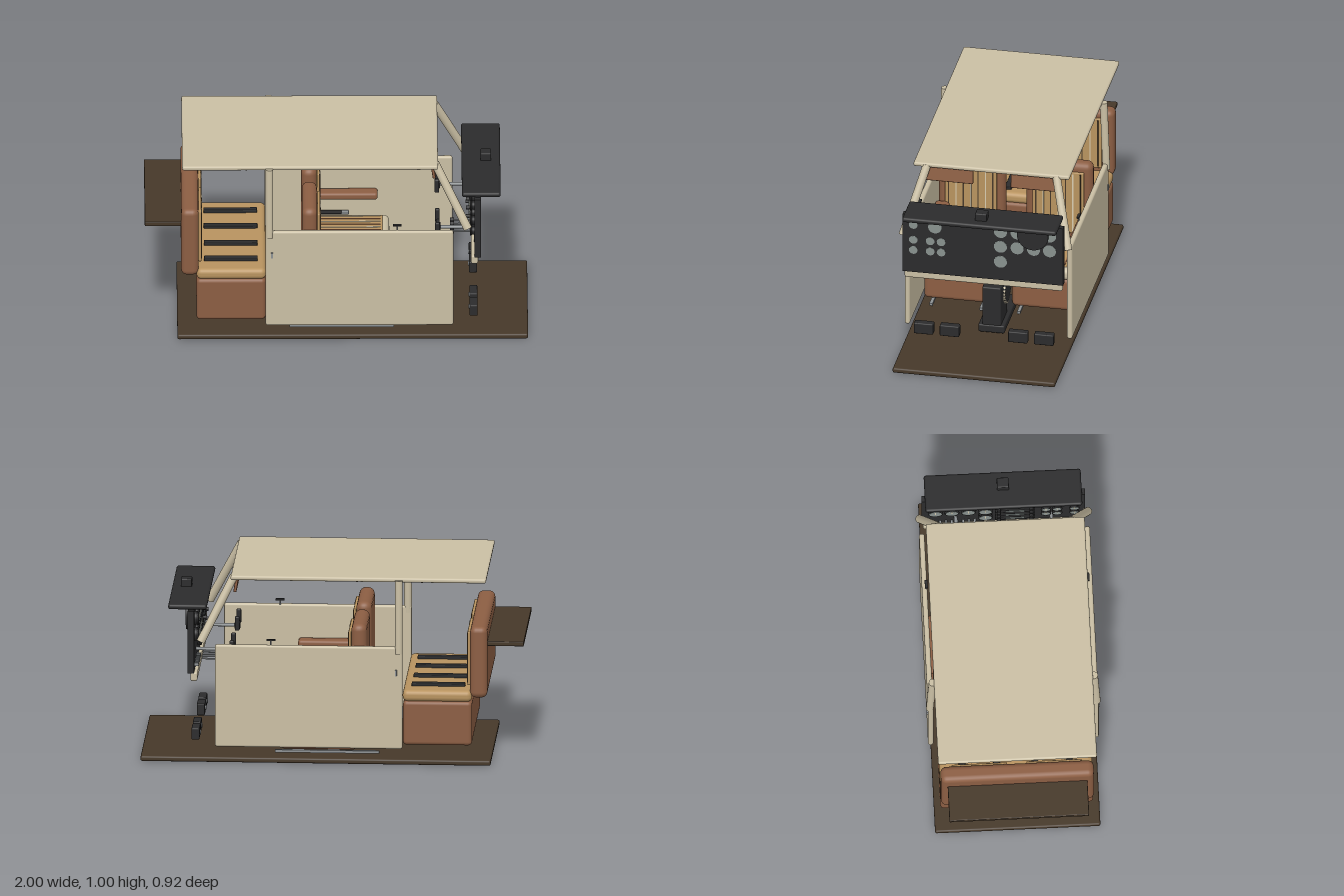
import * as THREE from 'three';
import { RoundedBoxGeometry } from 'three/addons/geometries/RoundedBoxGeometry.js';

const mat = (name, color) => {
  const m = new THREE.MeshStandardMaterial({ color });
  m.name = name;
  return m;
};

export function createModel() {
  const root = new THREE.Group();
  root.name = 'cabin';
  const beige = mat('beige trim', 0xcabfa4);
  const leather = mat('brown leather', 0x8c5e43);
  const tan = mat('tan fabric', 0xb8935f);
  const carpet = mat('dark carpet', 0x463829);
  const black = mat('black plastic', 0x2b2b2c);
  const glass = mat('gauge glass', 0x88918e);
  const metal = mat('grey metal', 0x8d9193);
  const cream = mat('cream piping', 0xd8ccb0);

  const add = (name, geo, m, parent = root) => {
    const mesh = new THREE.Mesh(geo, m);
    mesh.name = name;
    parent.add(mesh);
    return mesh;
  };
  // Box given by its low and high limits on each axis; r rounds the edges
  const box = (name, m, [x0, x1], [y0, y1], [z0, z1], r = 0, parent = root) => {
    const w = x1 - x0, h = y1 - y0, d = z1 - z0;
    const geo = r ? new RoundedBoxGeometry(w, h, d, 3, r) : new THREE.BoxGeometry(w, h, d);
    const mesh = add(name, geo, m, parent);
    mesh.position.set((x0 + x1) / 2, (y0 + y1) / 2, (z0 + z1) / 2);
    return mesh;
  };
  // Round bar between two points
  const rod = (name, m, a, b, r, parent = root, sides = 20) => {
    const p = new THREE.Vector3(...a), q = new THREE.Vector3(...b);
    const mesh = add(name, new THREE.CylinderGeometry(r, r, p.distanceTo(q), sides), m, parent);
    mesh.position.copy(p).lerp(q, 0.5);
    mesh.quaternion.setFromUnitVectors(new THREE.Vector3(0, 1, 0), q.sub(p).normalize());
    return mesh;
  };
  const span = (c, w) => [c - w / 2, c + w / 2];
  const group = (name) => {
    const g = new THREE.Group();
    g.name = name;
    root.add(g);
    return g;
  };

  // Floor, rear shelf and roof
  box('floor', carpet, [-0.83, 1], [0, 0.028], [-0.432, 0.432], 0.01);
  box('rearShelf', carpet, [-1, -0.79], [0.63, 0.655], [-0.365, 0.365], 0.005);
  box('roof', beige, [-0.805, 0.53], [0.978, 1.002], [-0.415, 0.415], 0.01);
  for (const x of [-0.47, -0.13, 0.21])
    box('roofSeam', carpet, span(x, 0.008), [0.974, 0.98], [-0.4, 0.4]);
  box('domeLight', beige, [-0.2, -0.145], [0.964, 0.979], [-0.04, 0.04], 0.005);

  // Vertical ribs on the upholstery of a seat back
  const backInsert = (x, y, z, parent) => {
    box('backInsert', tan, [x - 0.015, x], y, z, 0.006, parent);
    const n = 7, step = (z[1] - z[0]) / n;
    for (let i = 0; i < n; i++) {
      const c = z[0] + step * (i + 0.5);
      box('backRib', i % 2 ? cream : carpet, [x - 0.002, x + 0.003],
        [y[0] + 0.01, y[1] - 0.01], span(c, 0.006), 0, parent);
    }
  };

  // Rear bench
  const bench = group('rearBench');
  box('benchBase', leather, [-0.73, -0.37], [0.098, 0.335], [-0.4, 0.4], 0.02, bench);
  box('benchBack', leather, [-0.81, -0.72], [0.355, 0.737], [-0.4, 0.4], 0.03, bench);
  box('benchCushion', tan, [-0.73, -0.368], [0.332, 0.392], [-0.4, 0.4], 0.025, bench);
  for (const s of [-1, 1]) {
    backInsert(-0.704, [0.41, 0.7], span(s * 0.195, 0.29), bench);
    for (const z of [0.1, 0.28])
      box('rearBelt', black, [-0.69, -0.41], [0.388, 0.408], span(s * z, 0.035), 0.004, bench);
  }

  // Everything paired left and right
  for (const s of [-1, 1]) {
    const side = s > 0 ? 'left' : 'right';
    const zz = (a, b) => (s > 0 ? [a, b] : [-b, -a]);

    // Front seat
    const seat = group(side + 'FrontSeat');
    box('seatBase', leather, [-0.13, 0.27], [0.068, 0.255], zz(0.055, 0.412), 0.025, seat);
    box('seatCushion', beige, [-0.12, 0.28], [0.25, 0.316], zz(0.06, 0.406), 0.028, seat);
    box('seatInsert', tan, [-0.09, 0.245], [0.3, 0.321], zz(0.085, 0.38), 0.006, seat);
    for (let i = 0; i < 9; i++)
      box('seatRib', i % 2 ? leather : cream, [-0.08, 0.235], [0.318, 0.324],
        zz(0.103 + i * 0.032, 0.109 + i * 0.032), 0, seat);
    box('seatBack', leather, [-0.18, -0.1], [0.27, 0.745], zz(0.055, 0.41), 0.035, seat);
    backInsert(-0.084, [0.342, 0.7], zz(0.095, 0.37), seat);
    for (const z of [0.075, 0.385]) {
      box('beltStrap', black, [-0.08, 0.04], [0.328, 0.334], span(s * z, 0.04), 0, seat);
      box('beltBuckle', metal, [0.03, 0.07], [0.332, 0.341], span(s * (z - 0.01), 0.035), 0.003, seat);
    }
    for (const z of [0.1, 0.367])
      box('seatRail', metal, [-0.245, 0.3], [0.044, 0.058], span(s * z, 0.017), 0, seat);

    // Door with armrest, handle and lock
    const door = group(side + 'Door');
    box('doorPanel', beige, [-0.37, 0.61], [0.087, 0.637], zz(0.418, 0.446), 0.012, door);
    box('armrest', leather, [-0.1, 0.22], [0.42, 0.46], zz(0.345, 0.42), 0.015, door);
    box('doorHandle', metal, [-0.341, -0.331], [0.483, 0.515], zz(0.444, 0.452), 0, door);
    box('doorLock', black, [0.295, 0.34], [0.657, 0.665], zz(0.415, 0.43), 0, door);
    rod('lockStem', metal, [0.318, 0.63, s * 0.423], [0.318, 0.66, s * 0.423], 0.004, door);

    // Roof pillars and sun visor
    rod('doorPost', beige, [-0.35, 0.6, s * 0.436], [-0.35, 0.99, s * 0.422], 0.02);
    rod('windscreenPillar', beige, [0.515, 0.985, s * 0.345], [0.685, 0.65, s * 0.44], 0.022);
    const visor = box('sunVisor', leather, [0.497, 0.513], [0.896, 0.98], zz(0.1, 0.35), 0.005);
    visor.rotation.z = 0.15;

    // Control yoke
    const yoke = group(side + 'Yoke');
    const z = s * 0.25;
    rod('yokeShaft', metal, [0.53, 0.565, z], [0.73, 0.565, z], 0.009, yoke);
    box('yokeHub', black, [0.515, 0.545], [0.545, 0.585], span(z, 0.05), 0.008, yoke);
    box('yokeBar', black, [0.52, 0.54], [0.555, 0.575], span(z, 0.17), 0.008, yoke);
    for (const k of [-1, 1])
      box('yokeGrip', black, [0.515, 0.54], [0.555, 0.632], span(z + k * 0.08, 0.022), 0.008, yoke);

    // Rudder pedals
    for (const pz of [0.182, 0.32]) {
      box('pedal', black, [0.695, 0.737], [0.104, 0.166], span(s * pz, 0.103), 0.006);
      rod('pedalArm', metal, [0.7, 0.135, s * pz], [0.69, 0.135, s * pz], 0.012);
    }
  }

  // Instrument panel, lower rail, glare shield and compass
  const panel = group('instrumentPanel');
  box('panelBoard', black, [0.72, 0.753], [0.475, 0.81], [-0.427, 0.427], 0, panel);
  box('panelRail', beige, [0.703, 0.74], [0.432, 0.48], [-0.42, 0.42], 0.01, panel);
  box('glareShield', black, [0.655, 0.857], [0.814, 0.841], [-0.41, 0.41], 0.012, panel);
  box('glareShieldSupport', black, [0.725, 0.75], [0.8, 0.82], [-0.4, 0.4], 0, panel);
  box('compass', black, [0.754, 0.81], [0.835, 0.882], [-0.031, 0.031], 0.006, panel);

  // Gauges: y, z, radius
  const gauges = [[0.75, 0.255, 0.036], [0.583, -0.094, 0.035]];
  for (const z of [-0.094, -0.183, -0.27, -0.355])
    gauges.push([0.758, z, 0.035], [0.671, z, 0.035]);
  for (const y of [0.665, 0.605])
    for (const z of [0.37, 0.28, 0.222]) gauges.push([y, z, 0.023]);
  gauges.push([0.752, 0.37, 0.023]);
  for (const [y, z, r] of gauges) {
    const ring = add('gaugeBezel', new THREE.TorusGeometry(r, 0.005, 8, 28), black, panel);
    ring.rotation.y = Math.PI / 2;
    ring.position.set(0.702, y, z);
    rod('gaugeHousing', black, [0.7, y, z], [0.725, y, z], r, panel, 28);
    rod('gaugeFace', glass, [0.697, y, z], [0.701, y, z], r * 0.92, panel, 28);
    rod('gaugeRear', glass, [0.75, y, z], [0.7545, y, z], r, panel, 28);
    box('gaugeNeedle', cream, [0.695, 0.698], [y, y + r * 0.75], span(z, 0.004), 0, panel);
  }
  rod('rearInstrumentCover', black, [0.752, 0.758, -0.268], [0.768, 0.758, -0.268], 0.083, panel, 36);

  // Radio stack
  for (let i = 0; i < 5; i++) {
    const y = 0.775 - i * 0.05;
    box('radio', black, [0.695, 0.722], span(y, 0.042), [-0.045, 0.165], 0.004, panel);
    box('radioDisplay', glass, [0.692, 0.697], span(y, 0.018), [0.01, 0.11], 0, panel);
    for (const z of [-0.025, 0.145])
      rod('radioKnob', black, [0.677, y, z], [0.7, y, z], 0.01, panel, 14);
  }
  // Switch row
  for (let i = 0; i < 8; i++)
    box('switch', metal, [0.7, 0.722], [0.5, 0.517], span(-0.36 + i * 0.03, 0.012), 0, panel);
  // Engine controls
  for (const z of [-0.045, 0, 0.045, 0.09]) {
    rod('engineControlRod', metal, [0.61, 0.458, z], [0.71, 0.458, z], 0.004, panel, 10);
    rod('engineControlKnob', black, [0.595, 0.458, z], [0.615, 0.458, z], 0.012, panel, 16);
  }

  // Centre pedestal with trim wheel
  const pedestal = group('pedestal');
  box('pedestalBase', black, [0.16, 0.53], [0.04, 0.084], [-0.07, 0.07], 0.008, pedestal);
  box('pedestalColumn', black, [0.35, 0.525], [0.045, 0.302], [-0.05, 0.05], 0.008, pedestal);
  rod('trimWheel', black, [0.43, 0.262, -0.071], [0.43, 0.262, -0.059], 0.079, pedestal, 36);
  for (let i = 0; i < 28; i++) {
    const a = (i / 28) * Math.PI * 2;
    const tooth = add('wheelTooth', new THREE.BoxGeometry(0.008, 0.009, 0.014), cream, pedestal);
    tooth.position.set(0.43 + Math.cos(a) * 0.079, 0.262 + Math.sin(a) * 0.079, -0.065);
    tooth.rotation.z = a;
  }
  return root;
}
